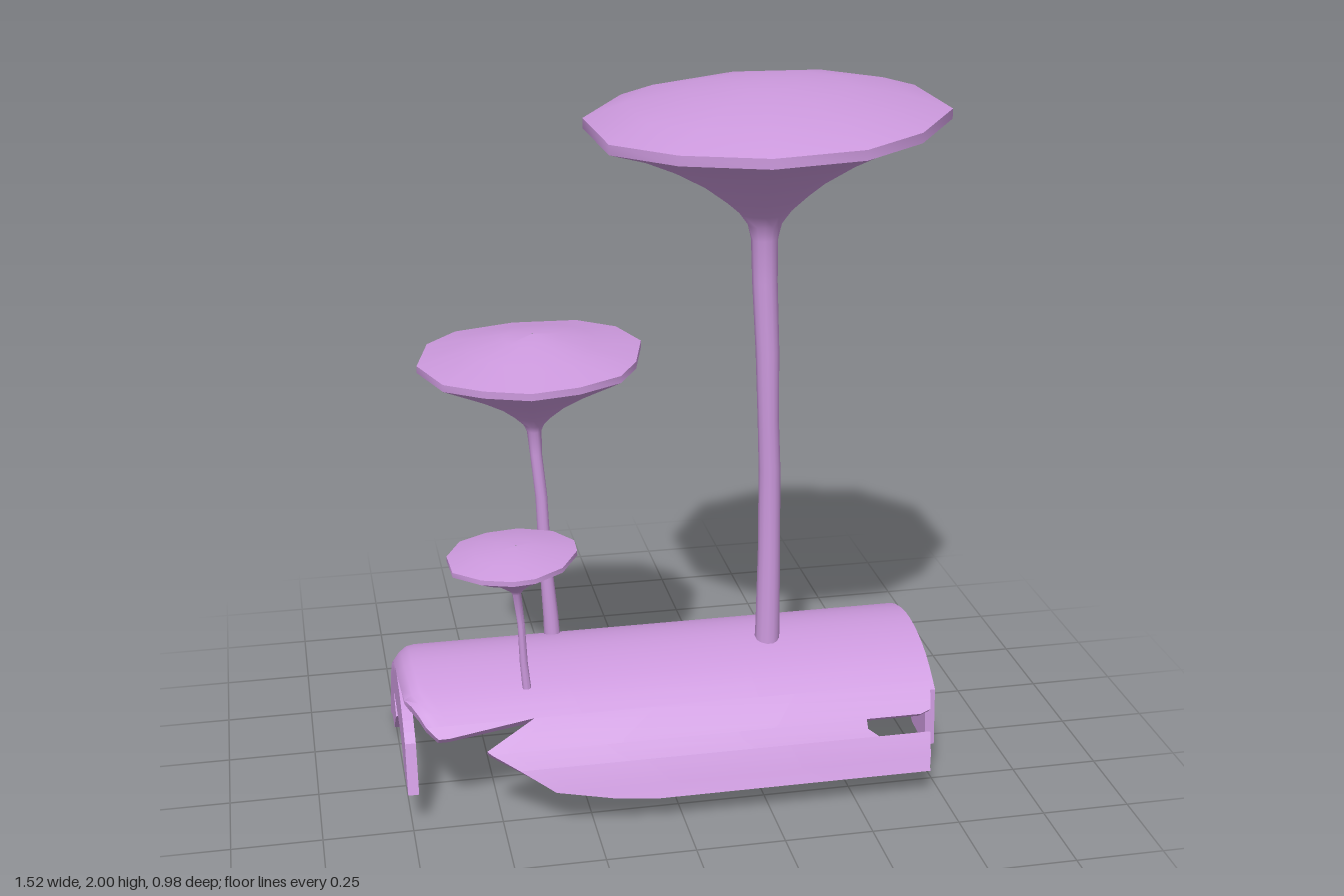
import * as THREE from 'three';
import { toCreasedNormals } from 'three/addons/utils/BufferGeometryUtils.js';

const material = new THREE.MeshStandardMaterial({ color: 0xcc99dd });

// Skin between equal-length loops of points, optionally closing both ends
function loft(rings, capped) {
  const m = rings[0].length, last = (rings.length - 1) * m, index = [];
  for (let j = 0; j < rings.length - 1; j++) {
    for (let i = 0; i < m; i++) {
      const a = j * m + i, b = j * m + (i + 1) % m;
      index.push(a, a + m, b + m, a, b + m, b);
    }
  }
  if (capped) {
    for (let i = 0; i < m / 2 - 1; i++) {
      const a = i, b = i + 1, c = m - 2 - i, d = m - 1 - i;
      index.push(a, b, c, a, c, d);
      index.push(last + a, last + c, last + b, last + a, last + d, last + c);
    }
  }
  const geometry = new THREE.BufferGeometry();
  geometry.setAttribute('position', new THREE.Float32BufferAttribute(rings.flat(2), 3));
  geometry.setIndex(index);
  return toCreasedNormals(geometry, 0.8);
}

function addMesh(parent, name, geometry) {
  const mesh = new THREE.Mesh(geometry, material);
  mesh.name = name;
  parent.add(mesh);
}

// Log cross-section, front edge to back edge, as [z, y]
const arcPoints = [[0.355, 0.08], [0.30, 0.19], [0.22, 0.28], [0.11, 0.35], [-0.03, 0.38],
  [-0.15, 0.365], [-0.27, 0.305], [-0.36, 0.22], [-0.43, 0.12], [-0.475, 0.012]];
const arc = new THREE.CatmullRomCurve3(arcPoints.map(([z, y]) => new THREE.Vector3(0, y, z)));

// Point on the log at arc position s (0..9), sunk inwards by depth
function logPoint(s, x, depth) {
  const p = arc.getPoint(s / 9), t = arc.getTangent(s / 9);
  return [x, p.y + t.z * depth, p.z - t.y * depth];
}

const bevel = (x) => 0.045 * (Math.max(0, -0.70 - x) / 0.06) ** 2;

// Piece of bark from rows of [arc position, left x, right x]
function barkPatch(rows) {
  const fractions = [0, 0.014, 0.028, 0.042, 0.3, 0.65, 1], rings = [];
  const addRow = (s, x0, x1) => {
    const xs = fractions.map((f) => THREE.MathUtils.lerp(x0, x1, f));
    rings.push([
      ...xs.map((x) => logPoint(s, x, bevel(x))),
      ...xs.map((x) => logPoint(s, x, bevel(x) + 0.028)).reverse(),
    ]);
  };
  rows.slice(1).forEach((row, i) => {
    const steps = Math.max(1, Math.ceil((rows[i][0] - row[0]) * 3));
    for (let k = 0; k < steps; k++) {
      addRow(...row.map((v, n) => THREE.MathUtils.lerp(rows[i][n], v, k / steps)));
    }
  });
  addRow(...rows[rows.length - 1]);
  return loft(rings, true);
}

// Broken end wall: arched outside, jagged hollow below
function endWall(x, thickness, inset) {
  const shape = new THREE.Shape();
  const jagged = [[-0.36, 0.035], [-0.27, 0.04], [-0.22, 0.09], [-0.17, 0.13], [-0.18, 0.15],
    [-0.22, 0.18], [-0.20, 0.19], [-0.02, 0.18], [0.04, 0.165], [0.12, 0.11], [0.24, 0.10]];
  const outer = [];
  for (let s = 1.9; s < 9; s += 0.3) {
    const [, y, z] = logPoint(s, 0, inset);
    outer.push([z, y]);
  }
  const [, y, z] = logPoint(9, 0, inset);
  outer.push([z, y + 0.01]);
  shape.setFromPoints([...outer, ...jagged].map(([pz, py]) => new THREE.Vector2(-pz, py)));
  return new THREE.ExtrudeGeometry(shape, { depth: thickness, bevelEnabled: false })
    .rotateY(Math.PI / 2).translate(x, 0, 0);
}

// Mushroom from a rim outline [x, z] and rings of [centre x, y, centre z, radius]
function mushroom(name, rim, radius, tilt, stem, cap) {
  const group = new THREE.Group();
  group.name = name;
  const [cx, , cz] = stem[stem.length - 1];
  const rings = [...stem, ...cap.map(([y, r]) => [cx, y, cz, r])].map(([x, y, z, r]) =>
    rim.map(([px, pz]) => {
      const dx = (px - cx) * r / radius, dz = (pz - cz) * r / radius;
      return [x + dx, y + tilt * dx, z + dz];
    }));
  addMesh(group, name + 'StemAndCap', loft(rings, false));
  return group;
}

export function createModel() {
  const model = new THREE.Group();

  // Hollow half log with a torn front edge
  const log = new THREE.Group();
  log.name = 'hollowLog';
  model.add(log);
  addMesh(log, 'bark', barkPatch([[9, -0.74, 0.74], [8.6, -0.757, 0.745], [8, -0.76, 0.75],
    [4, -0.76, 0.75], [3, -0.75, 0.75], [2.1, -0.70, 0.745]]));
  addMesh(log, 'barkSplinter', barkPatch([[2.1, -0.70, -0.40], [1.8, -0.67, -0.64]]));
  addMesh(log, 'frontBark', barkPatch([[2.1, -0.40, 0.745], [1.42, -0.54, 0.73], [1.33, -0.53, 0.70]]));
  addMesh(log, 'notchedBark', barkPatch([[1.33, -0.53, 0.54], [1.1, -0.49, 0.54], [0.9, -0.455, 0.57]]));
  addMesh(log, 'lowerBark', barkPatch([[0.9, -0.455, 0.72], [0.35, -0.36, 0.715],
    [0.1, -0.20, 0.71], [0, -0.08, 0.71]]));
  addMesh(log, 'leftEndWall', endWall(0.728, 0.028, 0.004));
  addMesh(log, 'rightEndWall', endWall(-0.76, 0.03, 0.045));

  // Tall mushroom
  model.add(mushroom('tallMushroom',
    [[-0.19, -0.14], [-0.04, -0.39], [0.28, -0.495], [0.58, -0.40], [0.75, -0.18], [0.755, 0.14],
      [0.60, 0.37], [0.42, 0.49], [0.18, 0.49], [-0.03, 0.37], [-0.175, 0.19]], 0.48, 0.048,
    [[0.31, 0.31, 0.01, 0.002], [0.31, 0.315, 0.01, 0.036], [0.312, 0.42, 0.01, 0.034],
      [0.313, 0.65, 0.006, 0.031], [0.31, 0.9, 0.006, 0.03], [0.302, 1.05, 0.012, 0.029],
      [0.297, 1.25, 0.008, 0.032], [0.288, 1.45, 0, 0.034], [0.285, 1.57, 0, 0.036]],
    [[1.61, 0.045], [1.645, 0.07], [1.69, 0.12], [1.745, 0.19], [1.80, 0.28], [1.845, 0.37],
      [1.885, 0.478], [1.912, 0.478], [1.95, 0.37], [1.978, 0.22], [1.992, 0.09], [1.995, 0.002]]));

  // Middle mushroom
  model.add(mushroom('middleMushroom',
    [[-0.655, -0.18], [-0.61, -0.36], [-0.52, -0.445], [-0.35, -0.465], [-0.17, -0.42],
      [-0.07, -0.32], [-0.025, -0.17], [-0.07, 0], [-0.13, 0.10], [-0.25, 0.15], [-0.38, 0.155],
      [-0.50, 0.09], [-0.60, 0]], 0.315, 0.06,
    [[-0.293, 0.32, -0.16, 0.002], [-0.293, 0.325, -0.16, 0.024], [-0.297, 0.42, -0.16, 0.022],
      [-0.31, 0.6, -0.16, 0.018], [-0.318, 0.8, -0.155, 0.017], [-0.33, 0.93, -0.16, 0.017],
      [-0.333, 1.0, -0.16, 0.021]],
    [[1.02, 0.03], [1.05, 0.06], [1.09, 0.11], [1.13, 0.175], [1.165, 0.24], [1.205, 0.315],
      [1.225, 0.315], [1.255, 0.18], [1.278, 0.08], [1.286, 0.002]]));

  // Small mushroom
  model.add(mushroom('smallMushroom',
    [[-0.615, 0.09], [-0.57, 0], [-0.49, -0.04], [-0.40, -0.045], [-0.31, 0], [-0.262, 0.08],
      [-0.265, 0.15], [-0.32, 0.25], [-0.40, 0.30], [-0.46, 0.303], [-0.54, 0.27], [-0.61, 0.20]],
    0.175, 0.04,
    [[-0.408, 0.335, 0.125, 0.002], [-0.408, 0.34, 0.125, 0.012], [-0.415, 0.42, 0.125, 0.011],
      [-0.42, 0.54, 0.13, 0.01], [-0.43, 0.635, 0.13, 0.012]],
    [[0.647, 0.02], [0.663, 0.04], [0.688, 0.075], [0.71, 0.125], [0.738, 0.176], [0.752, 0.176],
      [0.768, 0.11], [0.776, 0.05], [0.778, 0.002]]));

  return model;
}
